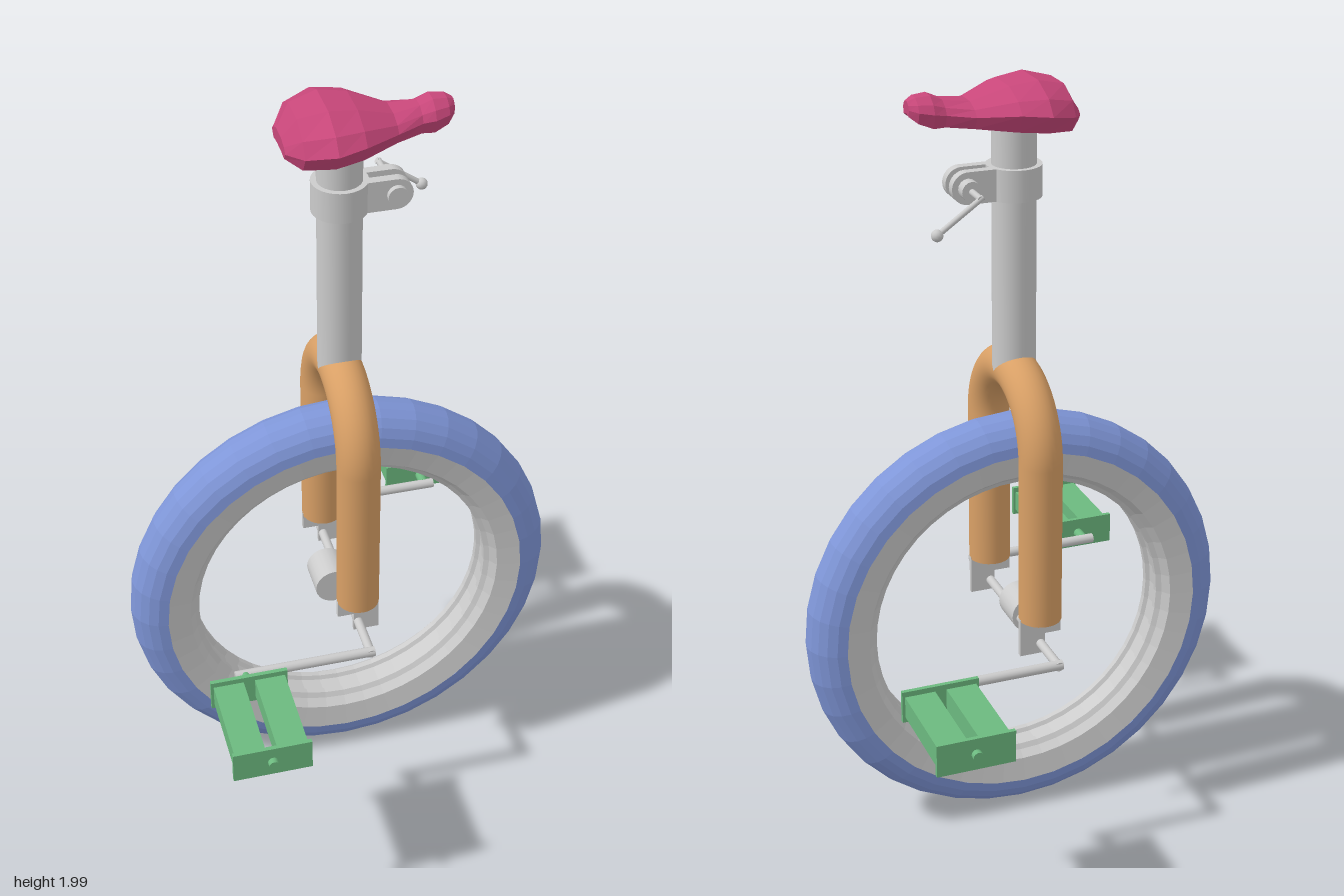
import * as THREE from 'three';

const material = (color, extra = {}) => new THREE.MeshStandardMaterial({ color, ...extra });
const grey = material(0xcccccc);
const greyFlat = material(0xcccccc, { flatShading: true, side: THREE.DoubleSide });
const blue = material(0x7f96d8, { flatShading: true, side: THREE.DoubleSide });
const orange = material(0xd9a066);
const green = material(0x6cb97f);
const pink = material(0xc8477a, { flatShading: true });

const AXLE_Y = 0.573;

function add(parent, name, geometry, mat, x = 0, y = 0, z = 0) {
  const mesh = new THREE.Mesh(geometry, mat);
  mesh.name = name;
  mesh.position.set(x, y, z);
  parent.add(mesh);
  return mesh;
}

// Round bar between two points
function bar(parent, name, from, to, radius, mat, sides = 16) {
  const a = new THREE.Vector3(...from), b = new THREE.Vector3(...to);
  const mesh = add(parent, name, new THREE.CylinderGeometry(radius, radius, a.distanceTo(b), sides), mat);
  mesh.position.copy(a).add(b).multiplyScalar(0.5);
  mesh.quaternion.setFromUnitVectors(new THREE.Vector3(0, 1, 0), b.sub(a).normalize());
  return mesh;
}

// Plate cut from an outline in x and y, centred on z
function plate(points, depth) {
  const shape = points instanceof THREE.Shape ? points : new THREE.Shape(points.map(p => new THREE.Vector2(...p)));
  return new THREE.ExtrudeGeometry(shape, { depth, bevelEnabled: false, curveSegments: 12 }).translate(0, 0, -depth / 2);
}

function createWheel() {
  const wheel = new THREE.Group();
  wheel.name = 'wheel';
  wheel.position.y = AXLE_Y;
  // Tyre: outer half round
  const arc = [];
  for (let i = 0; i <= 10; i++) {
    const a = -Math.PI / 2 + (Math.PI * i) / 10;
    arc.push(new THREE.Vector2(0.482 + 0.084 * Math.cos(a), 0.084 * Math.sin(a)));
  }
  add(wheel, 'tyre', new THREE.LatheGeometry(arc, 36).rotateX(Math.PI / 2), blue);
  // Rim: stepped channel closing the inside of the tyre
  const half = [[0.483, 0.083], [0.42, 0.072], [0.405, 0.05], [0.392, 0.042], [0.392, 0.026], [0.402, 0.02]];
  const profile = [...half, ...half.map(([r, z]) => [r, -z]).reverse()].map(p => new THREE.Vector2(...p));
  add(wheel, 'rim', new THREE.LatheGeometry(profile, 48).rotateX(Math.PI / 2), greyFlat);
  bar(wheel, 'hub', [-0.027, 0.005, -0.05], [-0.027, 0.005, 0.05], 0.05, grey, 20);
  bar(wheel, 'axle', [0, 0, -0.322], [0, 0, 0.322], 0.012, grey);
  return wheel;
}

// Crank and pedal on the +z side
function createCrank() {
  const crank = new THREE.Group();
  crank.position.y = AXLE_Y;
  bar(crank, 'crankArm', [0.011, 0, 0.312], [-0.355, 0, 0.312], 0.013, grey);
  const pedal = new THREE.Group();
  pedal.name = 'pedal';
  pedal.position.x = -0.33;
  crank.add(pedal);
  bar(pedal, 'innerSpindle', [0, 0, 0.316], [0, 0, 0.362], 0.013, green);
  bar(pedal, 'outerSpindle', [0, 0, 0.612], [0, 0, 0.638], 0.013, green);
  for (const z of [0.361, 0.617]) add(pedal, 'pedalEndPlate', new THREE.BoxGeometry(0.197, 0.084, 0.011), green, 0, 0, z);
  for (const s of [-1, 1]) add(pedal, 'pedalTread', new THREE.BoxGeometry(0.077, 0.056, 0.25), green, s * 0.053, 0, 0.489);
  return crank;
}

function createFork() {
  const fork = new THREE.Group();
  fork.name = 'fork';
  // Legs and arch
  for (const s of [-1, 1]) {
    bar(fork, 'forkLeg', [0, 0.645, s * 0.185], [0, 1.075, s * 0.185], 0.055, orange, 28);
    const dropout = [[-0.055, 0.65], [-0.055, 0.6], [-0.012, 0.6], [-0.012, 0.545], [0.055, 0.545], [0.055, 0.65]];
    add(fork, 'dropout', plate(dropout, 0.013), grey, 0, 0, s * 0.185);
  }
  const arch = new THREE.TorusGeometry(0.185, 0.055, 28, 32, Math.PI).rotateY(Math.PI / 2);
  add(fork, 'forkArch', arch, orange, 0, 1.075, 0);
  return fork;
}

function createClamp() {
  const clamp = new THREE.Group();
  clamp.name = 'seatClamp';
  bar(clamp, 'collar', [0, 1.71, 0], [0, 1.79, 0], 0.069, grey, 28);
  // Rounded ears pinched by the bolt
  const ear = new THREE.Shape();
  ear.moveTo(0.03, -0.04);
  ear.lineTo(0.13, -0.04);
  ear.absarc(0.13, 0, 0.04, -Math.PI / 2, Math.PI / 2, false);
  ear.lineTo(0.03, 0.04);
  for (const s of [-1, 1]) add(clamp, 'clampEar', plate(ear, 0.024), grey, 0, 1.75, s * 0.024);
  bar(clamp, 'clampBolt', [0.13, 1.75, -0.065], [0.13, 1.75, 0.05], 0.025, grey);
  // Quick release lever
  bar(clamp, 'leverPin', [0.13, 1.75, -0.04], [0.13, 1.75, -0.127], 0.008, grey, 10);
  bar(clamp, 'lever', [0.123, 1.754, -0.122], [0.238, 1.673, -0.122], 0.007, grey, 10);
  add(clamp, 'leverKnob', new THREE.SphereGeometry(0.015, 12, 8), grey, 0.238, 1.673, -0.122);
  return clamp;
}

// Saddle lofted along x; stations are x, half width, bottom, middle, top
function createSaddle() {
  const stations = [
    [-0.143, 0.065, 1.893, 1.91, 1.932], [-0.11, 0.12, 1.882, 1.92, 1.983], [-0.04, 0.154, 1.89, 1.935, 2.0],
    [0.03, 0.135, 1.895, 1.94, 1.99], [0.12, 0.076, 1.9, 1.93, 1.958], [0.185, 0.05, 1.905, 1.935, 1.965],
    [0.215, 0.055, 1.905, 1.94, 1.978], [0.25, 0.044, 1.918, 1.945, 1.975], [0.268, 0.022, 1.932, 1.948, 1.966],
  ];
  // Section: z fraction, height from the middle (+1 top, -1 bottom)
  const ring = [[1, 0], [0.8, 0.55], [0.35, 1], [-0.35, 1], [-0.8, 0.55], [-1, 0], [-0.8, -1], [-0.3, -0.75], [0.3, -0.75], [0.8, -1]];
  const n = ring.length, positions = [], index = [];
  for (const [x, w, b, m, t] of stations)
    for (const [z, h] of ring) positions.push(x, m + (h > 0 ? h * (t - m) : h * (m - b)), z * w);
  for (let s = 0; s < stations.length - 1; s++)
    for (let i = 0; i < n; i++) {
      const j = (i + 1) % n, a = s * n, c = a + n;
      index.push(a + i, c + i, c + j, a + i, c + j, a + j);
    }
  const last = (stations.length - 1) * n;
  for (let i = 1; i < n - 1; i++) index.push(0, i, i + 1, last, last + i + 1, last + i);
  const geometry = new THREE.BufferGeometry();
  geometry.setAttribute('position', new THREE.Float32BufferAttribute(positions, 3));
  geometry.setIndex(index);
  geometry.computeVertexNormals();
  return geometry;
}

export function createModel() {
  const model = new THREE.Group();
  model.name = 'unicycle';
  model.add(createWheel(), createFork(), createClamp());
  const front = createCrank(), back = createCrank();
  front.name = 'frontCrank';
  back.name = 'backCrank';
  back.rotation.y = Math.PI;
  model.add(front, back);
  bar(model, 'seatPost', [0, 1.26, 0], [0, 1.92, 0], 0.055, grey, 28);
  add(model, 'saddle', createSaddle(), pink);
  return model;
}
